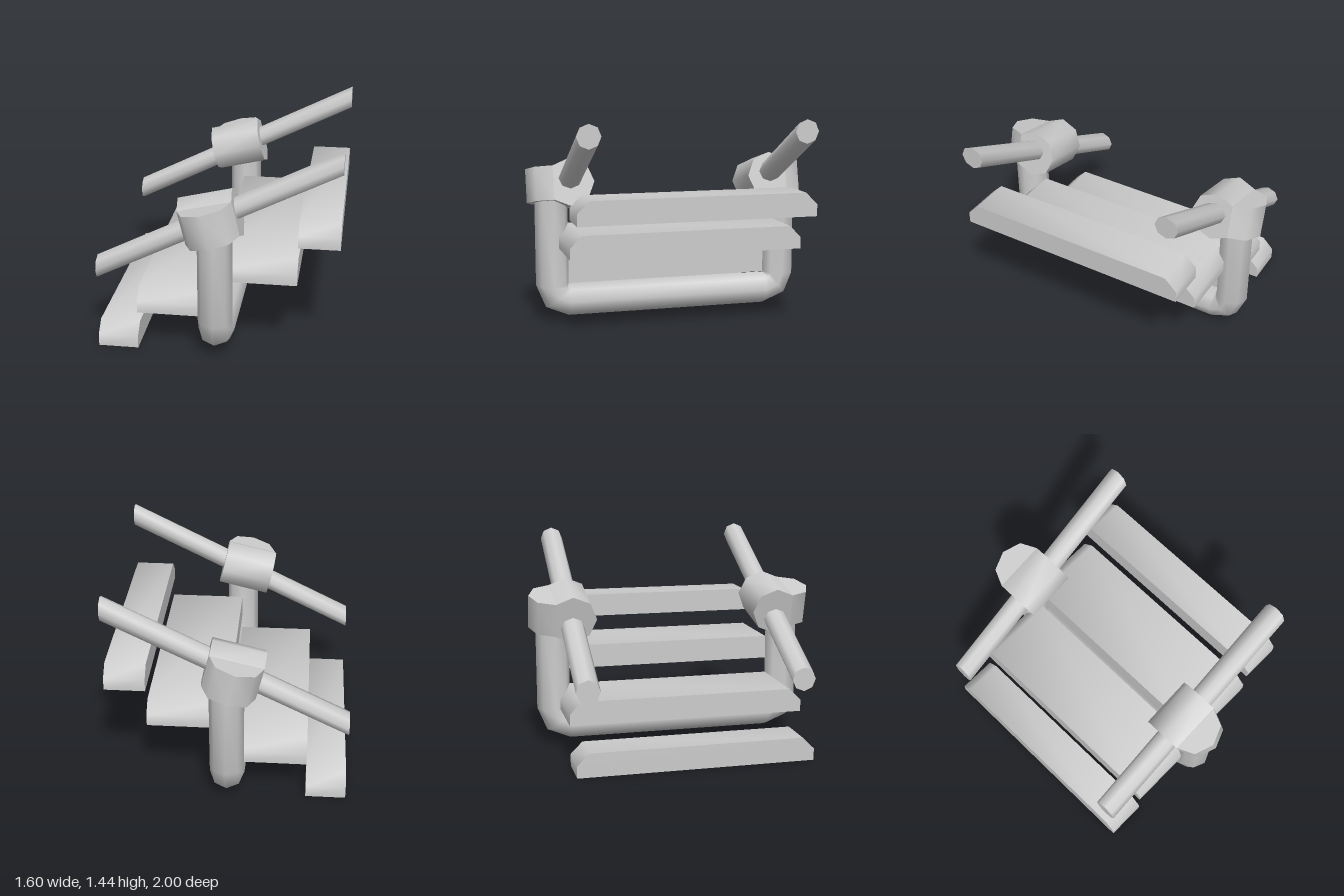
import * as THREE from 'three';
import { toCreasedNormals } from 'three/addons/utils/BufferGeometryUtils.js';

const material = new THREE.MeshStandardMaterial({ color: 0xcccccc });

function part(name, geometry) {
  const mesh = new THREE.Mesh(toCreasedNormals(geometry, 1), material);
  mesh.name = name;
  return mesh;
}

// Prism from an outline, centred on its extrusion axis
function prism(points, depth) {
  const shape = new THREE.Shape(points.map(([x, y]) => new THREE.Vector2(x, y)));
  return new THREE.ExtrudeGeometry(shape, { depth, bevelEnabled: false }).translate(0, 0, -depth / 2);
}

// Plank with chamfered upper ends, running along z
function step(x0, x1, y) {
  const outline = [[-0.8, 0], [0.8, 0], [0.8, 0.08], [0.72, 0.16], [-0.72, 0.16], [-0.8, 0.08]];
  return part('step', prism(outline, x1 - x0).rotateY(Math.PI / 2).translate((x0 + x1) / 2, y, 0));
}

// Eight-sided U-shaped pipe, swept as rings around two mitred bends
function supportPipe() {
  const r = 0.115, sides = 8, rings = [[0.72, 0.95, 0]];
  for (const a of [0, 1, 2]) rings.push([0.72, 0.265, a * Math.PI / 4]);
  for (const a of [2, 3, 4]) rings.push([-0.72, 0.265, a * Math.PI / 4]);
  rings.push([-0.72, 0.95, Math.PI]);
  const positions = [], index = [];
  rings.forEach(([z, y, a], j) => {
    for (let i = 0; i < sides; i++) {
      const t = i / sides * Math.PI * 2, out = r + r * Math.sin(t);
      positions.push(r * Math.cos(t), y - Math.sin(a) * out, z + Math.cos(a) * out);
      if (j === rings.length - 1) continue;
      const A = j * sides + i, B = j * sides + (i + 1) % sides;
      index.push(A, B, A + sides, B, B + sides, A + sides);
    }
  });
  const geometry = new THREE.BufferGeometry();
  geometry.setAttribute('position', new THREE.Float32BufferAttribute(positions, 3));
  geometry.setIndex(index);
  return part('supportPipe', geometry);
}

// Handrail sheared to the stair slope, so its ends stay vertical
function handrail(side) {
  const geometry = new THREE.CylinderGeometry(0.08, 0.08, 1.6, 8).rotateZ(Math.PI / 2);
  const p = geometry.attributes.position;
  for (let i = 0; i < p.count; i++) p.setY(i, p.getY(i) + 0.5 * p.getX(i));
  return part('handrail', geometry.translate(0, 0.96, side * 0.72));
}

// Tilted joint: a sleeve around the rail merging into a cap over the pipe
function railJoint(side) {
  const group = new THREE.Group();
  group.name = 'railJoint';
  const sleeve = [], cap = [];
  for (let i = 1; i < 8; i++) {
    const a = i * Math.PI / 4;
    sleeve.push([side * (0.72 + 0.165 * Math.cos(a)), 0.165 * Math.sin(a)]);
  }
  for (let i = 0; i <= 4; i++) {
    const a = i * Math.PI / 4;
    cap.push([0.18 * Math.cos(a), side * (0.836 + 0.164 * Math.sin(a))]);
  }
  group.add(part('railSleeve', prism(sleeve, 0.36).rotateY(-Math.PI / 2)));
  group.add(part('pipeCap', prism(cap, 0.234).rotateX(Math.PI / 2)));
  group.position.set(-0.04, 0.955, 0);
  group.rotation.z = 0.235;
  return group;
}

export function createModel() {
  const model = new THREE.Group();
  model.name = 'staircase';
  const edges = [-0.8, -0.53, 0, 0.53, 0.8];
  for (let i = 0; i < 4; i++) model.add(step(edges[i], edges[i + 1], i * 0.267));
  model.add(supportPipe());
  for (const side of [1, -1]) model.add(handrail(side), railJoint(side));
  return model;
}
